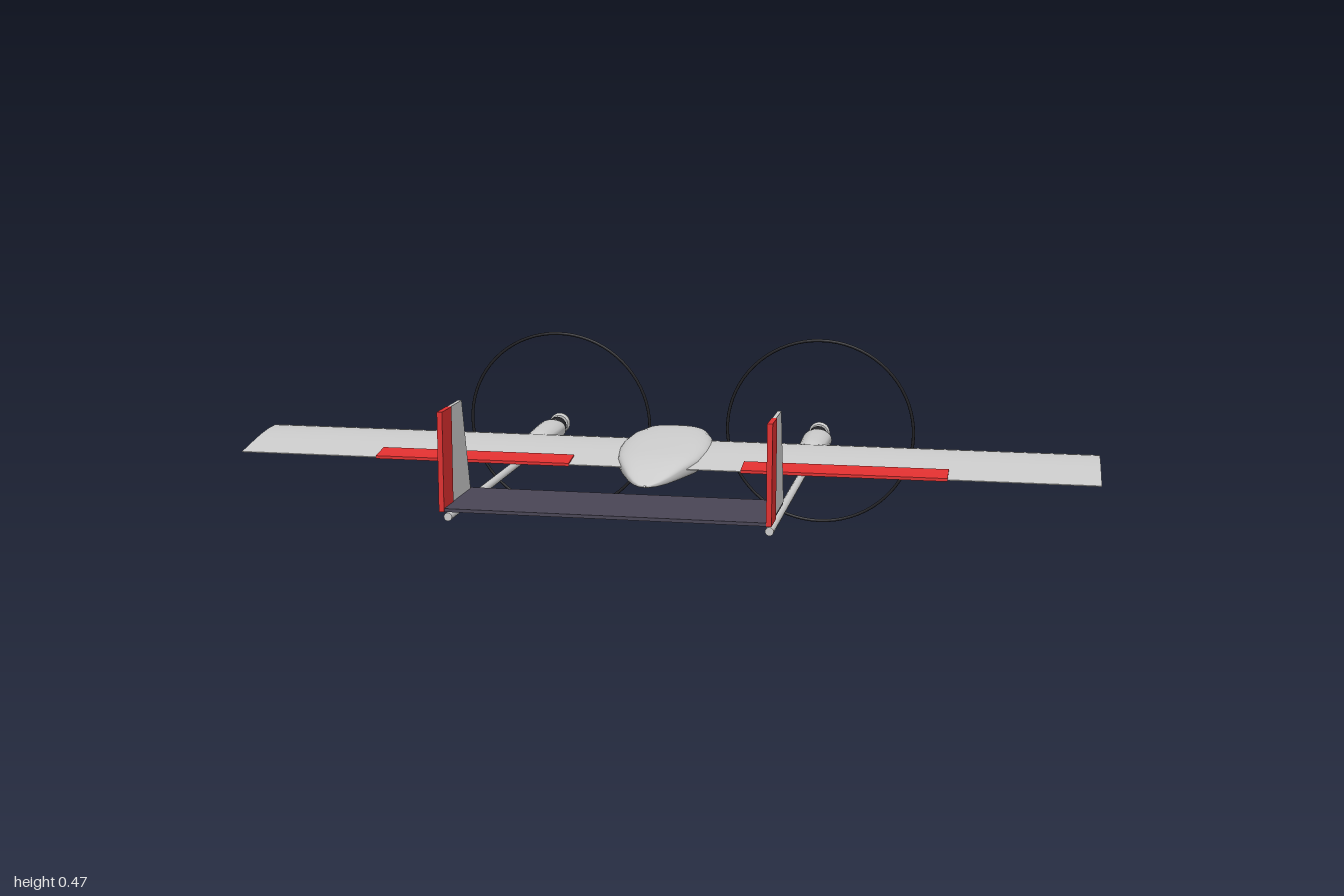
import * as THREE from 'three';
import { toCreasedNormals } from 'three/addons/utils/BufferGeometryUtils.js';

const mat = (color) => new THREE.MeshStandardMaterial({ color, side: THREE.DoubleSide });

export function createModel() {
  const model = new THREE.Group();
  const grey = mat(0xcccccc), red = mat(0xe03030), dark = mat(0x4a4656), black = mat(0x222226);

  const add = (name, geo, material, parent = model) => {
    const m = new THREE.Mesh(geo, material);
    m.name = name;
    parent.add(m);
    return m;
  };

  // Extrudes a [z, y] outline along x from x0 to x1
  const extrudeX = (pts, x0, x1) => {
    const shape = new THREE.Shape(pts.map(([z, y]) => new THREE.Vector2(-z, y)));
    const g = new THREE.ExtrudeGeometry(shape, { depth: x1 - x0, bevelEnabled: false });
    g.rotateY(Math.PI / 2).translate(x0, 0, 0);
    return toCreasedNormals(g, 0.6);
  };

  // Lathe of [radius, distance forward]; its axis points to -z
  const latheForward = (pts, seg = 24) => {
    const g = new THREE.LatheGeometry(pts.map(([r, d]) => new THREE.Vector2(r, d)), seg);
    return toCreasedNormals(g.rotateX(-Math.PI / 2), 0.6);
  };

  // Wing: flat-bottomed airfoil
  const airfoil = [[-0.03, 0.229], [-0.06, 0.234], [-0.1, 0.241], [-0.15, 0.249], [-0.2, 0.254],
    [-0.24, 0.255], [-0.262, 0.252], [-0.275, 0.246], [-0.28, 0.24], [-0.275, 0.235],
    [-0.26, 0.231], [-0.22, 0.229], [-0.12, 0.228], [-0.03, 0.227]];
  add('wing', extrudeX(airfoil, -1, 1), grey);

  // Fuselage: rounded sections as [z, half width, bottom, top]
  const sections = [[0.083, 0.002, 0.208, 0.211], [0.078, 0.015, 0.206, 0.214], [0.06, 0.031, 0.204, 0.22],
    [0.03, 0.049, 0.202, 0.23], [-0.02, 0.073, 0.201, 0.247], [-0.08, 0.095, 0.2, 0.257],
    [-0.15, 0.107, 0.2, 0.266], [-0.2, 0.108, 0.2, 0.272], [-0.26, 0.1, 0.201, 0.277],
    [-0.31, 0.083, 0.202, 0.277], [-0.35, 0.058, 0.205, 0.27], [-0.375, 0.031, 0.212, 0.258],
    [-0.384, 0.014, 0.221, 0.247], [-0.387, 0.002, 0.23, 0.236]];
  const N = 40, pos = [], idx = [];
  const soft = (v) => Math.sign(v) * Math.abs(v) ** 0.65;
  sections.forEach(([z, w, lo, hi], i) => {
    for (let j = 0; j < N; j++) {
      const a = (j / N) * Math.PI * 2;
      pos.push(w * soft(Math.cos(a)), (lo + hi) / 2 + ((hi - lo) / 2) * soft(Math.sin(a)), z);
      if (i === sections.length - 1) continue;
      const p = i * N + j, q = i * N + ((j + 1) % N);
      idx.push(p, q, p + N, q, q + N, p + N);
    }
  });
  const hull = new THREE.BufferGeometry();
  hull.setAttribute('position', new THREE.Float32BufferAttribute(pos, 3));
  hull.setIndex(idx);
  // Outward faces: sections run towards -z
  for (let k = 0; k < idx.length; k += 3) [idx[k + 1], idx[k + 2]] = [idx[k + 2], idx[k + 1]];
  hull.setIndex(idx.reverse().map((v) => v));
  hull.computeVertexNormals();
  add('fuselage', hull, grey);

  // Tailplane between the booms
  add('tailplane', new THREE.BoxGeometry(0.68, 0.007, 0.207).translate(0, 0.2385, 0.4075), dark);

  for (const s of [-1, 1]) {
    const side = s > 0 ? 'left' : 'right';

    // Aileron: slightly proud of the trailing edge
    const x = s > 0 ? 0.2 : -0.665;
    add(side + 'Aileron', extrudeX([[-0.028, 0.225], [-0.028, 0.232], [-0.06, 0.237], [-0.085, 0.2415],
      [-0.085, 0.2255]], x, x + 0.465), red);

    // Tail boom
    add(side + 'Boom', new THREE.CylinderGeometry(0.0088, 0.0088, 0.76, 16)
      .rotateX(Math.PI / 2).translate(s * 0.335, 0.217, 0.1), grey);

    // Fin and rudder
    const fx = s * 0.338;
    add(side + 'Fin', extrudeX([[0.446, 0.242], [0.446, 0.443], [0.368, 0.443], [0.314, 0.242]],
      fx - 0.004, fx + 0.004), grey);
    add(side + 'Rudder', extrudeX([[0.513, 0.235], [0.513, 0.443], [0.446, 0.443], [0.446, 0.235]],
      fx - 0.0055, fx + 0.0055), red);

    // Nacelle: oval pod ahead of the boom
    const pod = latheForward([[0, -0.005], [0.022, 0], [0.027, 0.015], [0.03, 0.04], [0.032, 0.1],
      [0.033, 0.155], [0.031, 0.167], [0, 0.167]]);
    pod.scale(1.08, 0.78, 1).translate(s * 0.333, 0.236, -0.25);
    add(side + 'Nacelle', pod, grey);

    // Motor, spinner and propeller ring, tilted upwards
    const unit = new THREE.Group();
    unit.name = side + 'PropUnit';
    unit.position.set(s * 0.33, 0.24, -0.485);
    unit.rotation.x = 0.079;
    model.add(unit);
    add('motor', latheForward([[0, -0.072], [0.018, -0.072], [0.018, -0.06], [0.023, -0.048],
      [0.023, -0.03], [0, -0.03]], 16), black, unit);
    add('shaft', latheForward([[0.008, -0.035], [0.008, 0]], 12), grey, unit);
    add('spinner', latheForward([[0, -0.013], [0.022, -0.013], [0.026, -0.004], [0.024, 0.004],
      [0.016, 0.018], [0.008, 0.026], [0, 0.028]]), grey, unit);
    add('propellerRing', new THREE.TorusGeometry(0.231, 0.0038, 8, 72), black, unit);
  }
  return model;
}
